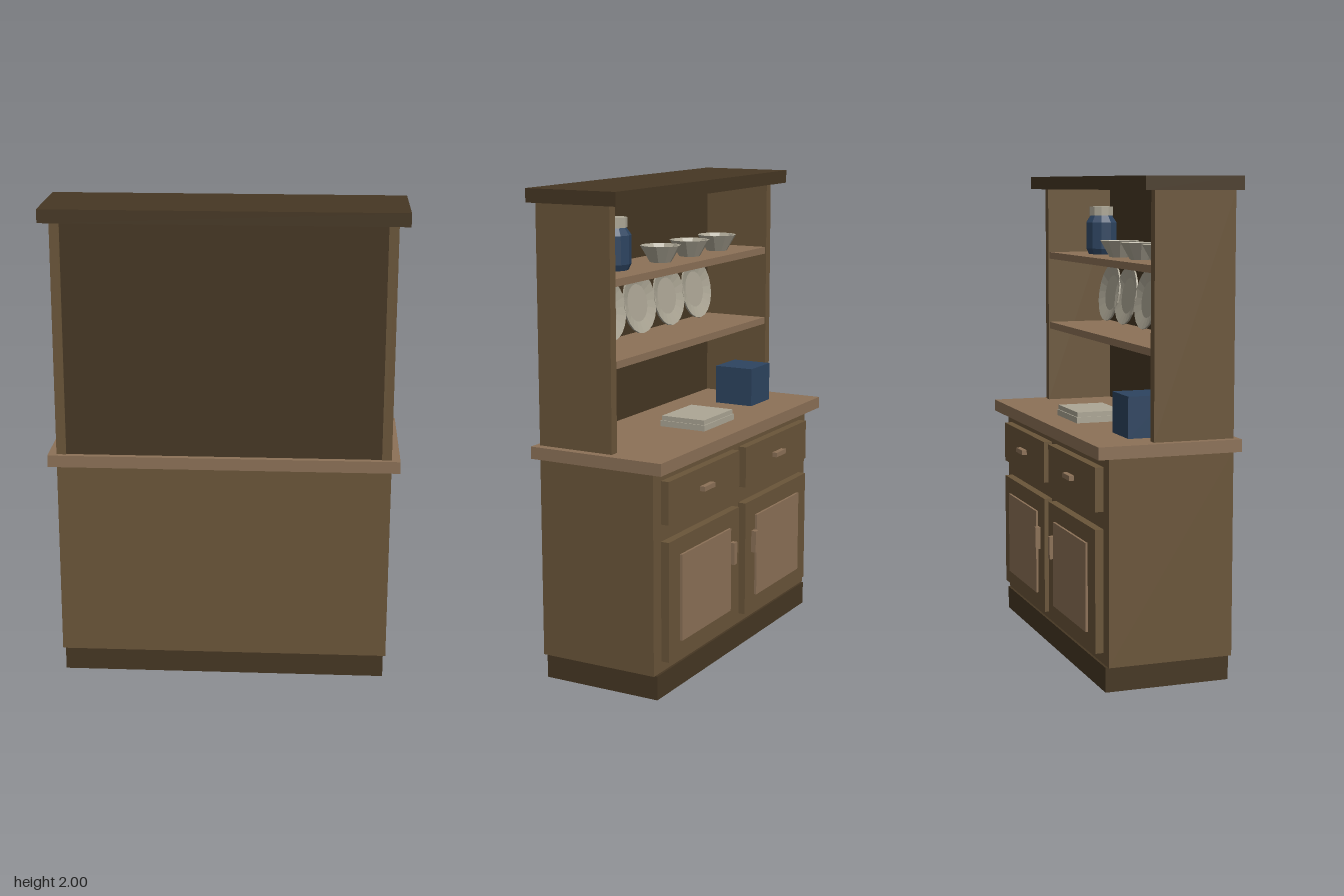
import * as THREE from 'three';

const mat = (name, color) => {
  const m = new THREE.MeshStandardMaterial({ color });
  m.name = name;
  return m;
};

export function createModel() {
  const root = new THREE.Group();
  root.name = 'kitchenDresser';

  const wood = mat('wood', 0x6a5539);
  const darkWood = mat('darkWood', 0x463723);
  const lightWood = mat('lightWood', 0x8c7157);
  const cream = mat('cream', 0xaca695);
  const blue = mat('blue', 0x2d4460);
  cream.flatShading = blue.flatShading = true;

  const add = (name, geo, material, parent = root) => {
    const m = new THREE.Mesh(geo, material);
    m.name = name;
    parent.add(m);
    return m;
  };
  // Box given by its extents on each axis
  const box = (name, material, [x0, x1], [y0, y1], [z0, z1], parent) => {
    const m = add(name, new THREE.BoxGeometry(x1 - x0, y1 - y0, z1 - z0), material, parent);
    m.position.set((x0 + x1) / 2, (y0 + y1) / 2, (z0 + z1) / 2);
    return m;
  };
  const lathe = (points, sides) =>
    new THREE.LatheGeometry(points.map(([r, y]) => new THREE.Vector2(r, y)), sides);

  // Lower cabinet
  box('plinth', darkWood, [-0.68, 0.68], [0, 0.1], [-0.25, 0.27]);
  box('lowerCabinet', wood, [-0.69, 0.69], [0.1, 0.93], [-0.24, 0.28]);
  box('countertop', lightWood, [-0.725, 0.725], [0.93, 0.98], [-0.295, 0.3]);

  // Drawers and doors, mirrored about the middle
  for (const s of [-1, 1]) {
    const unit = new THREE.Group();
    unit.name = s > 0 ? 'leftDrawerAndDoor' : 'rightDrawerAndDoor';
    root.add(unit);
    const span = (a, b) => (s > 0 ? [a, b] : [-b, -a]);
    box('drawerFront', wood, span(0.03, 0.63), [0.71, 0.885], [-0.275, -0.24], unit);
    box('drawerHandle', lightWood, span(0.285, 0.375), [0.79, 0.81], [-0.297, -0.275], unit);
    box('door', wood, span(0.03, 0.63), [0.145, 0.64], [-0.275, -0.24], unit);
    box('doorPanel', lightWood, span(0.12, 0.54), [0.21, 0.57], [-0.285, -0.275], unit);
    box('doorHandle', lightWood, span(0.087, 0.113), [0.41, 0.505], [-0.297, -0.275], unit);
  }

  // Upper rack
  box('leftSide', wood, [0.65, 0.69], [0.98, 1.945], [-0.055, 0.28]);
  box('rightSide', wood, [-0.69, -0.65], [0.98, 1.945], [-0.055, 0.28]);
  box('backPanel', darkWood, [-0.65, 0.65], [0.98, 1.945], [0.245, 0.275]);
  box('lowerShelf', lightWood, [-0.65, 0.65], [1.31, 1.34], [-0.05, 0.245]);
  box('upperShelf', lightWood, [-0.65, 0.65], [1.63, 1.66], [-0.05, 0.245]);
  box('cornice', darkWood, [-0.735, 0.735], [1.945, 2], [-0.11, 0.295]);

  // Plates leaning against the back
  const plateGeo = lathe([[0, 0], [0.08, 0], [0.13, 0.016], [0.13, 0.024], [0.08, 0.01], [0, 0.01]], 20);
  for (let i = 0; i < 5; i++) {
    const plate = add('plate', plateGeo, cream);
    plate.position.set(0.55 - i * 0.25, 1.475, 0.215);
    if (i === 0) plate.position.x = 0.518;
    plate.rotation.x = -Math.PI / 2 + 0.15;
  }

  // Bowls on the upper shelf
  const bowlGeo = lathe([[0, 0], [0.045, 0], [0.086, 0.07], [0.076, 0.07], [0.038, 0.014], [0, 0.014]], 10);
  for (let i = 0; i < 3; i++) {
    add('bowl', bowlGeo, cream).position.set(0.07 - i * 0.25, 1.66, 0.08);
  }

  // Lidded jar
  const jar = new THREE.Group();
  jar.name = 'jar';
  jar.position.set(0.39, 1.66, 0.11);
  root.add(jar);
  add('jarBody', lathe([[0, 0], [0.058, 0], [0.07, 0.025], [0.07, 0.14], [0.05, 0.17], [0, 0.17]], 10), blue, jar);
  add('jarLid', new THREE.CylinderGeometry(0.054, 0.054, 0.04, 10), cream, jar).position.y = 0.19;

  // Things on the countertop
  box('bookLower', cream, [-0.11, 0.155], [0.98, 1.005], [-0.175, 0.035]);
  box('bookUpper', cream, [-0.105, 0.15], [1.005, 1.025], [-0.17, 0.03]);
  box('breadBin', blue, [-0.57, -0.39], [0.98, 1.147], [-0.117, 0.06]);

  return root;
}
